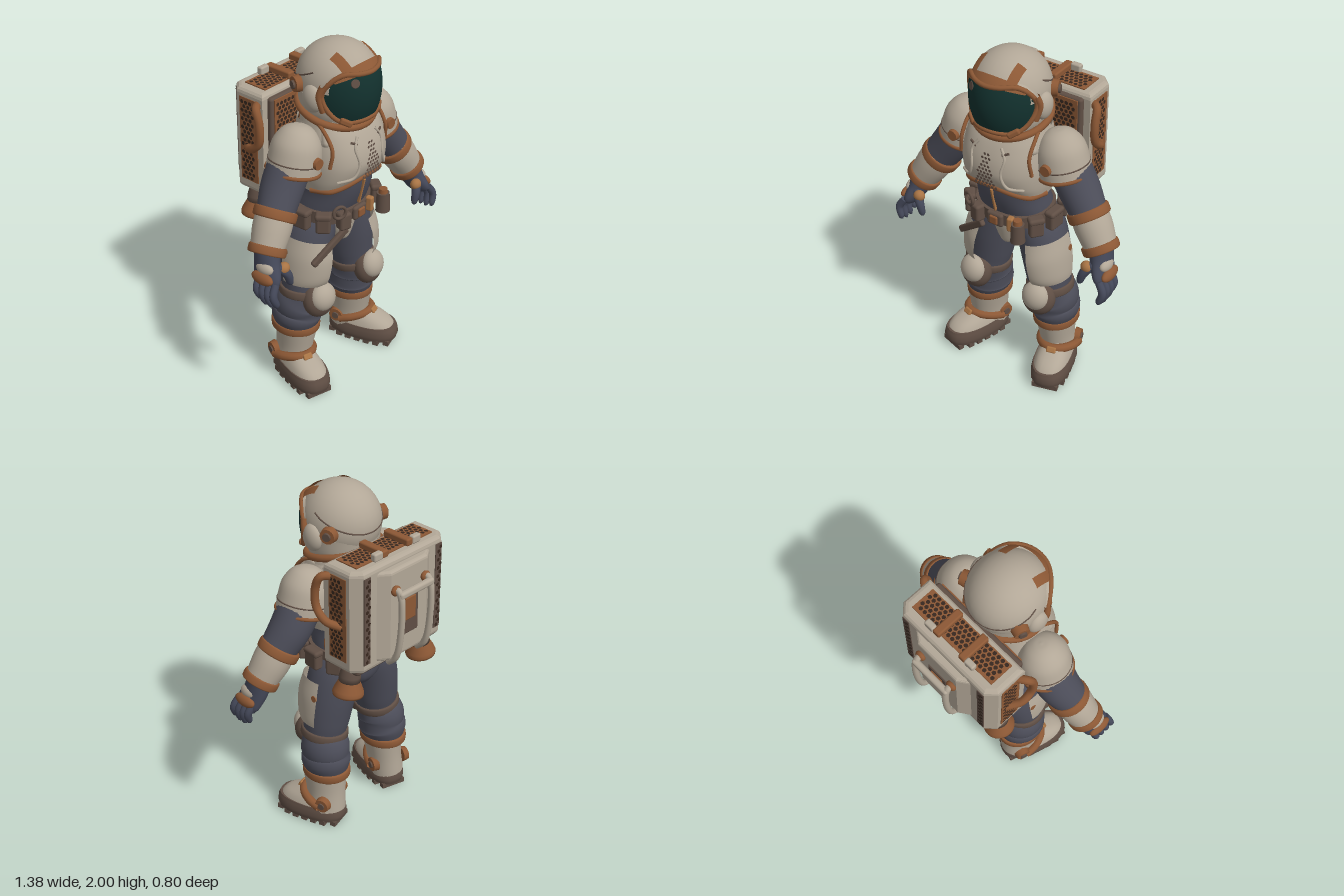
import * as THREE from 'three';
import { mergeGeometries } from 'three/addons/utils/BufferGeometryUtils.js';
import { RoundedBoxGeometry } from 'three/addons/geometries/RoundedBoxGeometry.js';
import { ParametricGeometry } from 'three/addons/geometries/ParametricGeometry.js';

const M = {};
const palette = { shell: 0xb2a797, copper: 0x8c5835, paleCopper: 0xa87445, suit: 0x4c4d59, glove: 0x444859, brown: 0x5f4e44, visor: 0x13322f, dark: 0x38281f };
for (const [name, hex] of Object.entries(palette)) {
  M[name] = new THREE.MeshStandardMaterial({ color: hex, side: THREE.DoubleSide });
  M[name].name = name;
}
const V = (a) => new THREE.Vector3(a[0], a[1], a[2]);

function add(parent, name, geo, mat, pos = [0, 0, 0], rot = [0, 0, 0], scale = [1, 1, 1]) {
  const m = new THREE.Mesh(geo, M[mat]);
  m.name = name;
  m.position.set(...pos); m.rotation.set(...rot); m.scale.set(...scale);
  parent.add(m);
}

// Skin over stations [x, y, z, rx, rz]; pow squares the section, a0..a1 opens it
function loft(st, { n = 28, sub = 5, pow = 2, flat = false, a0 = 0, a1 = 2 * Math.PI } = {}) {
  const open = a1 - a0 < 6.28, cols = open ? n + 1 : n, steps = (st.length - 1) * sub;
  const path = new THREE.CatmullRomCurve3(st.map(V), false, 'catmullrom');
  const size = new THREE.CatmullRomCurve3(st.map((s) => new THREE.Vector3(s[3], s[4], 0)), false, 'catmullrom');
  const pos = [], idx = [];
  const sp = (v) => Math.sign(v) * Math.abs(v) ** (2 / pow);
  for (let i = 0; i <= steps; i++) {
    const c = path.getPoint(i / steps), r = size.getPoint(i / steps);
    const t = flat ? new THREE.Vector3(0, 1, 0) : path.getTangent(i / steps);
    const u = t.clone().cross(new THREE.Vector3(0, 0, 1)).normalize(), v = u.clone().cross(t);
    for (let j = 0; j < cols; j++) {
      const a = a0 + (a1 - a0) * j / n;
      const p = c.clone().addScaledVector(u, r.x * sp(Math.cos(a))).addScaledVector(v, r.y * sp(Math.sin(a)));
      pos.push(p.x, p.y, p.z);
    }
  }
  for (let i = 0; i < steps; i++) for (let j = 0; j < n; j++) {
    const k = (j + 1) % cols, a = i * cols + j, b = i * cols + k;
    idx.push(a, a + cols, b, b, a + cols, b + cols);
  }
  if (!open) for (const end of [0, steps]) {
    const base = pos.length / 3, c = path.getPoint(end / steps);
    pos.push(...pos.slice(end * cols * 3, (end + 1) * cols * 3), c.x, c.y, c.z);
    for (let j = 0; j < n; j++) {
      const a = base + j, b = base + (j + 1) % n;
      idx.push(base + n, ...(end ? [b, a] : [a, b]));
    }
  }
  const g = new THREE.BufferGeometry();
  g.setAttribute('position', new THREE.Float32BufferAttribute(pos, 3));
  g.setIndex(idx);
  g.computeVertexNormals();
  return g;
}
const tube = (pts, r, closed = false) => new THREE.TubeGeometry(new THREE.CatmullRomCurve3(pts.map(V), closed), 48, r, 10, closed);
const ball = () => new THREE.SphereGeometry(1, 28, 18);
const rbox = (w, h, d, r = 0.015) => new RoundedBoxGeometry(w, h, d, 3, r);
const disc = (r, h) => new THREE.CylinderGeometry(r * 0.88, r, h, 24);
const lathe = (pts) => new THREE.LatheGeometry(pts.map(([x, y]) => new THREE.Vector2(x, y)), 28);
// Upright bevelled prism from a plan outline [x, -z]
const prism = (pts, depth, bevel) => new THREE.ExtrudeGeometry(new THREE.Shape(pts.map(([x, y]) => new THREE.Vector2(x, y))), { depth, bevelThickness: bevel, bevelSize: bevel, bevelSegments: 3 }).rotateX(-Math.PI / 2);

// Band wrapped around a limb between two points
function cuff(a, b, r, rz = r) {
  const at = (t, k) => [...V(a).lerp(V(b), t).toArray(), r * k, rz * k];
  return loft([at(0, 0.93), at(0.15, 1), at(0.85, 1), at(1, 0.93)], { sub: 2 });
}

// Honeycomb panel facing +z
function grille(parent, name, w, h, pos, rot, base = 'copper') {
  const g = new THREE.Group(), cells = [], s = 0.028;
  g.name = name; g.position.set(...pos); g.rotation.set(...rot);
  add(g, name + 'Plate', new THREE.BoxGeometry(w, h, 0.008), base);
  for (let r = 0; r * s * 0.87 < h - s; r++) for (let c = 0; c * s < w - s * 1.4; c++)
    cells.push(new THREE.CircleGeometry(s * 0.42, 6).rotateZ(Math.PI / 6).translate(-w / 2 + s * (0.7 + c + (r % 2) * 0.5), -h / 2 + s * (0.6 + r * 0.87), 0.006));
  add(g, name + 'Cells', mergeGeometries(cells), 'dark');
  parent.add(g);
}

// Copy of a group reflected across x, with face order restored
function mirrored(group) {
  const out = new THREE.Group();
  out.name = group.name.replace('left', 'right');
  group.updateMatrixWorld(true);
  group.traverse((o) => {
    if (!o.isMesh) return;
    const g = o.geometry.clone().applyMatrix4(o.matrixWorld).scale(-1, 1, 1);
    const ix = g.index ? Array.from(g.index.array) : Array.from({ length: g.attributes.position.count }, (_, i) => i);
    for (let i = 0; i < ix.length; i += 3) [ix[i + 1], ix[i + 2]] = [ix[i + 2], ix[i + 1]];
    g.setIndex(ix);
    const m = new THREE.Mesh(g, o.material);
    m.name = o.name;
    out.add(m);
  });
  return out;
}

function buildLeg() {
  const g = new THREE.Group(); g.name = 'leftLeg';
  const thigh = [[0.21, 0.56, 0.09, 0.12, 0.12], [0.195, 0.66, 0.085, 0.13, 0.13], [0.17, 0.8, 0.08, 0.135, 0.145], [0.135, 0.93, 0.075, 0.13, 0.15]];
  add(g, 'trouser', loft([[0.23, 0.33, 0.055, 0.11, 0.125], [0.23, 0.4, 0.06, 0.137, 0.143], [0.225, 0.44, 0.065, 0.13, 0.138], [0.225, 0.49, 0.07, 0.135, 0.14], ...thigh, [0.1, 1.01, 0.08, 0.11, 0.14]]), 'suit');
  add(g, 'thighPlate', loft([[0.195, 0.645, 0.09, 0.135, 0.15], [0.19, 0.7, 0.09, 0.142, 0.175], [0.175, 0.8, 0.085, 0.148, 0.185], [0.155, 0.905, 0.085, 0.142, 0.165]], { a0: -0.25, a1: 1.6 }), 'shell');
  add(g, 'plateBadge', disc(0.02, 0.012), 'copper', [0.312, 0.84, 0.06], [0, 0, -1.45]);
  add(g, 'kneeStrap', cuff([0.212, 0.545, 0.09], [0.205, 0.595, 0.088], 0.134), 'brown');
  add(g, 'kneeRim', ball(), 'brown', [0.212, 0.55, 0.205], [-0.2, 0.1, 0], [0.098, 0.108, 0.073]);
  add(g, 'kneePad', ball(), 'shell', [0.212, 0.574, 0.235], [-0.2, 0.1, 0], [0.08, 0.083, 0.062]);
  add(g, 'bootCuff', cuff([0.232, 0.31, 0.055], [0.232, 0.362, 0.055], 0.127, 0.143), 'copper');
  const b = new THREE.Group(); b.name = 'boot';
  b.position.set(0.25, 0, 0.05); b.rotation.y = 0.28;
  add(b, 'bootShaft', loft([[0, 0.08, -0.01, 0.1, 0.11], [-0.01, 0.2, 0, 0.1, 0.115], [-0.018, 0.33, 0.01, 0.115, 0.128]]), 'shell');
  add(b, 'bootFoot', loft([[0, 0.06, 0.09, 0.103, 0.198], [0, 0.1, 0.088, 0.101, 0.192], [0, 0.135, 0.082, 0.09, 0.165], [0, 0.165, 0.06, 0.075, 0.13], [0, 0.2, 0.02, 0.055, 0.09]], { pow: 2.4, flat: true }), 'shell');
  add(b, 'sole', loft([[0, 0.024, 0.09, 0.108, 0.206], [0, 0.05, 0.09, 0.113, 0.212], [0, 0.08, 0.09, 0.111, 0.209], [0, 0.108, 0.089, 0.104, 0.199]], { pow: 2.5, flat: true }), 'brown');
  for (let i = 0; i < 7; i++) {
    const z = -0.085 + i * 0.058, w = 0.205 * (1 - (Math.abs(z - 0.09) / 0.24) ** 4);
    add(b, 'tread', new THREE.BoxGeometry(w, 0.03, 0.034), 'brown', [0, 0.015, z]);
  }
  add(b, 'instepStrap', tube([[-0.11, 0.14, -0.02], [-0.094, 0.16, 0.05], [-0.05, 0.175, 0.11], [0, 0.178, 0.13], [0.05, 0.175, 0.11], [0.094, 0.16, 0.05], [0.11, 0.14, -0.02]], 0.026), 'copper');
  add(b, 'strapClasp', rbox(0.055, 0.035, 0.02, 0.008), 'paleCopper', [0, 0.185, 0.153], [-0.6, 0, 0]);
  for (const s of [-1, 1]) {
    add(b, 'ankleDisc', disc(0.046, 0.035), 'copper', [s * 0.103, 0.16, -0.04], [0, 0, -s * Math.PI / 2]);
    add(b, 'ankleHub', disc(0.022, 0.012), 'brown', [s * 0.122, 0.16, -0.04], [0, 0, -s * Math.PI / 2]);
  }
  g.add(b);
  return g;
}

function buildArm() {
  const g = new THREE.Group(); g.name = 'leftArm';
  add(g, 'sleeve', loft([[0.25, 1.53, 0.12, 0.09, 0.1], [0.33, 1.42, 0.12, 0.108, 0.115], [0.4, 1.31, 0.125, 0.108, 0.115], [0.47, 1.21, 0.145, 0.1, 0.1]]), 'suit');
  add(g, 'forearm', loft([[0.465, 1.22, 0.145, 0.098, 0.1], [0.52, 1.13, 0.16, 0.1, 0.102], [0.585, 1.03, 0.182, 0.083, 0.086]]), 'shell');
  add(g, 'elbowBand', cuff([0.46, 1.215, 0.14], [0.49, 1.17, 0.148], 0.114), 'copper');
  add(g, 'wristBand', cuff([0.563, 1.06, 0.176], [0.588, 1.02, 0.184], 0.1), 'copper');
  add(g, 'elbowPad', ball(), 'shell', [0.49, 1.28, 0.135], [0, 0, 0.65], [0.045, 0.065, 0.06]);
  // Pauldron dome with hem
  const p = new THREE.Group(); p.name = 'pauldron';
  p.position.set(0.295, 1.475, 0.125); p.rotation.z = 0.22;
  add(p, 'dome', loft([[0, -0.1, 0, 0.14, 0.142], [0, -0.03, 0, 0.137, 0.14], [0, 0.05, 0, 0.125, 0.127], [0, 0.11, 0, 0.088, 0.09], [0, 0.138, 0, 0.045, 0.045], [0, 0.145, 0, 0.004, 0.004]], { flat: true }), 'shell');
  add(p, 'hem', new THREE.TorusGeometry(1, 0.07, 8, 40), 'copper', [0, -0.1, 0], [Math.PI / 2, 0, 0], [0.138, 0.14, 0.16]);
  add(p, 'seam', new THREE.TorusGeometry(1, 0.03, 8, 40), 'brown', [0, -0.045, 0], [Math.PI / 2, 0, 0], [0.137, 0.139, 0.14]);
  g.add(p);
  add(g, 'shoulderBolt', disc(0.033, 0.03), 'copper', [0.29, 1.45, 0.265], [Math.PI / 2, 0, 0]);
  // Gloved hand
  add(g, 'palm', loft([[0.58, 1.04, 0.182, 0.065, 0.07], [0.6, 0.97, 0.2, 0.055, 0.075], [0.625, 0.91, 0.225, 0.042, 0.08], [0.64, 0.88, 0.235, 0.03, 0.07]]), 'glove');
  for (let i = 0; i < 4; i++) {
    const z = 0.178 + i * 0.038, len = [0.85, 1, 1, 0.9][i];
    add(g, 'finger', loft([[0.638, 0.91, z, 0.021, 0.02], [0.67, 0.91 - 0.06 * len, z + 0.012, 0.022, 0.02], [0.655, 0.91 - 0.12 * len, z + 0.02, 0.018, 0.017], [0.645, 0.91 - 0.14 * len, z + 0.02, 0.005, 0.005]], { n: 12 }), 'glove');
  }
  add(g, 'knuckleGuard', ball(), 'copper', [0.66, 0.928, 0.22], [0, 0, 0.3], [0.026, 0.034, 0.07]);
  add(g, 'thumb', loft([[0.58, 0.97, 0.25, 0.026, 0.026], [0.54, 0.92, 0.28, 0.025, 0.025], [0.522, 0.86, 0.285, 0.018, 0.018], [0.525, 0.845, 0.285, 0.004, 0.004]], { n: 12 }), 'glove');
  add(g, 'thumbGuard', ball(), 'paleCopper', [0.55, 0.955, 0.268], [0, 0, 0], [0.034, 0.032, 0.03]);
  add(g, 'handPlate', ball(), 'shell', [0.635, 0.975, 0.215], [0, 0, 0.3], [0.028, 0.035, 0.055]);
  return g;
}

const chestR = (y) => [0.242 - 0.7 * (y - 1.38) ** 2, 0.225 - 1.75 * (y - 1.38) ** 2];
const chestZ = (x, y) => { const [a, b] = chestR(y); return 0.16 + b * (1 - Math.min(1, Math.abs(x / a)) ** 2.4) ** (1 / 2.4); };
const arch = (x, y) => y + 0.07 * Math.max(0, 1 - (x / 0.24) ** 2) * Math.max(0, (1.4 - y) / 0.18);

function buildTorso(root) {
  add(root, 'bodySuit', loft([[0, 0.845, 0.06, 0.06, 0.09], [0, 0.9, 0.07, 0.14, 0.135], [0, 0.98, 0.075, 0.205, 0.15], [0, 1.08, 0.11, 0.2, 0.17], [0, 1.2, 0.145, 0.185, 0.175], [0, 1.32, 0.15, 0.21, 0.18], [0, 1.47, 0.15, 0.23, 0.17], [0, 1.6, 0.14, 0.17, 0.14]], { pow: 2.3, flat: true }), 'suit');
  const chest = loft([1.22, 1.29, 1.38, 1.46, 1.54, 1.6].map((y) => [0, y, 0.16, ...chestR(y)]), { n: 60, pow: 2.4, flat: true, a0: -0.5, a1: Math.PI + 0.5 });
  const p = chest.attributes.position;
  for (let i = 0; i < p.count; i++) if (p.getZ(i) > 0.16) p.setY(i, arch(p.getX(i), p.getY(i)));
  chest.computeVertexNormals();
  add(root, 'chestPlate', chest, 'shell');
  const hem = [];
  for (let i = 0; i <= 16; i++) { const x = -0.225 + i * 0.45 / 16; hem.push([x, arch(x, 1.22), chestZ(x, 1.22) + 0.002]); }
  add(root, 'chestHem', tube(hem, 0.015), 'copper');
  add(root, 'backPlate', loft([[0, 1.25, 0.13, 0.21, 0.17], [0, 1.42, 0.13, 0.235, 0.18], [0, 1.59, 0.13, 0.2, 0.17]], { pow: 2.4, flat: true, a0: Math.PI, a1: 2 * Math.PI }), 'shell');
  // Chest vents, a fan widening downward
  const cells = [];
  for (let r = 0; r < 10; r++) for (let c = -3; c <= 3; c++) {
    const y = 1.315 + r * 0.02, x = (c + (r % 2) * 0.5) * 0.021;
    if (Math.abs(x) < 0.066 - r * 0.0055) cells.push(new THREE.CircleGeometry(0.0085, 6).translate(x, y, chestZ(x, y) + 0.007));
  }
  add(root, 'chestVents', mergeGeometries(cells), 'brown');
  for (const s of [-1, 1]) {
    const on = (x, y) => [s * x, y, chestZ(x, y) + 0.001];
    add(root, 'chestRidge', tube([on(0.07, 1.54), on(0.1, 1.49), on(0.09, 1.4), on(0.12, 1.33), on(0.19, 1.31)], 0.008), 'shell');
    add(root, 'chestSlot', rbox(0.045, 0.012, 0.01, 0.004), 'brown', [s * 0.1, 1.515, chestZ(0.1, 1.515) + 0.002], [0, s * 0.3, s * 0.45]);
    add(root, 'collarStrap', rbox(0.07, 0.14, 0.11, 0.025), 'shell', [s * 0.175, 1.545, 0.2], [-0.5, 0, s * 0.25]);
    add(root, 'collarEdge', tube([[s * 0.18, 1.63, 0.13], [s * 0.205, 1.59, 0.23], [s * 0.21, 1.5, 0.295], [s * 0.222, 1.4, 0.29]], 0.01), 'copper');
    add(root, 'waistHose', tube([[s * 0.17, 1.24, 0.04], [s * 0.24, 1.2, 0.02], [s * 0.26, 1.13, -0.02], [s * 0.28, 1.15, -0.1]], 0.018), 'copper');
  }
  add(root, 'zipper', rbox(0.012, 0.16, 0.016, 0.003), 'paleCopper', [0, 1.185, 0.318], [0.22, 0, 0]);
  add(root, 'collar', loft([[0, 1.55, 0.14, 0.205, 0.18], [0, 1.62, 0.14, 0.185, 0.175]], { flat: true }), 'shell');
  add(root, 'codpiece', loft([[0, 0.835, 0.165, 0.02, 0.04], [0, 0.86, 0.17, 0.05, 0.06], [0, 0.94, 0.17, 0.09, 0.08], [0, 1.02, 0.17, 0.105, 0.092]], { flat: true }), 'shell');
  // Belt and its gear
  add(root, 'belt', loft([[0, 1.02, 0.11, 0.218, 0.188], [0, 1.09, 0.115, 0.216, 0.188]], { flat: true, pow: 2.3 }), 'brown');
  add(root, 'buckle', rbox(0.1, 0.08, 0.03), 'brown', [0, 1.055, 0.305]);
  add(root, 'buckleFace', rbox(0.05, 0.05, 0.02, 0.008), 'copper', [0, 1.055, 0.32]);
  add(root, 'beltClasp', rbox(0.035, 0.085, 0.04, 0.01), 'paleCopper', [0.095, 1.055, 0.3], [0, 0.25, 0]);
  for (const [x, z, a, w] of [[0.215, 0.24, 0.9, 0.08], [0.25, 0.12, 1.5, 0.1], [0.22, -0.01, 2.1, 0.09]]) for (const s of [-1, 1]) {
    add(root, 'pouch', rbox(w, 0.11, 0.055), 'brown', [s * x, 1.05, z], [0, s * a, 0]);
    add(root, 'pouchFlap', rbox(w + 0.008, 0.035, 0.062), 'brown', [s * x, 1.092, z], [0, s * a, 0]);
  }
  add(root, 'frontPouch', rbox(0.07, 0.1, 0.06), 'brown', [-0.12, 1.05, 0.3], [0, -0.3, 0]);
  add(root, 'canister', disc(0.04, 0.11), 'brown', [0.165, 1.05, 0.335]);
  add(root, 'canisterCap', disc(0.026, 0.03), 'copper', [0.165, 1.115, 0.335]);
  add(root, 'beltRing', new THREE.TorusGeometry(0.035, 0.009, 8, 24), 'brown', [-0.165, 1.12, 0.31], [0, -0.4, 0]);
  add(root, 'knifeSheath', rbox(0.04, 0.27, 0.03, 0.012), 'brown', [-0.19, 0.9, 0.265], [0, -0.3, -0.9]);
}

function buildHelmet(root) {
  const g = new THREE.Group(); g.name = 'helmet';
  add(g, 'helmetShell', ball(), 'shell', [0, 1.79, 0.15], [0, 0, 0], [0.208, 0.21, 0.222]);
  add(g, 'neckRing', new THREE.TorusGeometry(0.198, 0.02, 10, 48), 'copper', [0, 1.632, 0.135], [Math.PI / 2 + 0.25, 0, 0]);
  add(g, 'jaw', loft([[0, 1.61, 0.15, 0.175, 0.17], [0, 1.66, 0.14, 0.195, 0.19], [0, 1.75, 0.14, 0.205, 0.2]], { flat: true }), 'shell');
  // Visor bulges from its outline
  const vz = (x, y) => 0.15 + 0.235 * Math.sqrt(Math.max(0, 1 - (x / 0.206) ** 2 - ((y - 1.77) / 0.3) ** 2));
  const half = [[0.07, 1.893], [0.135, 1.893], [0.178, 1.85], [0.198, 1.78], [0.18, 1.69], [0.13, 1.632], [0.07, 1.63]];
  const edge = [[0, 1.89], ...half, [0, 1.635], ...half.slice().reverse().map(([x, y]) => [-x, y])];
  const rim = new THREE.CatmullRomCurve3(edge.map(([x, y]) => new THREE.Vector3(x, y, 0)), true);
  add(g, 'visor', new ParametricGeometry((u, v, t) => {
    const e = rim.getPoint(u), x = e.x * v, y = 1.765 + (e.y - 1.765) * v;
    t.set(x, y, vz(x, y));
  }, 64, 16), 'visor');
  add(g, 'visorSurround', new ParametricGeometry((u, v, t) => {
    const e = rim.getPoint(u);
    t.set(e.x * 1.03, 1.765 + (e.y - 1.765) * 1.05, vz(e.x, e.y) * (1 - v) + 0.13 * v);
  }, 64, 4), 'shell');
  add(g, 'visorRim', tube(edge.map(([x, y]) => [x * 1.02, y, vz(x, y)]), 0.013, true), 'copper');
  // Strip of the dome between two x values and two elevations
  const domeStrip = (x0, x1, p0, p1) => new ParametricGeometry((u, v, t) => {
    const x = x0 + (x1 - x0) * u, a = p0 + (p1 - p0) * v, k = Math.sqrt(1 - (x / 0.216) ** 2);
    t.set(x, 1.79 + 0.217 * k * Math.sin(a), 0.15 + (0.226 + 0.025 * Math.cos(a) ** 2) * k * Math.cos(a));
  }, 24, 10);
  add(g, 'browBand', domeStrip(-0.175, 0.175, 0.5, 0.74), 'copper');
  add(g, 'visorGlint', disc(0.024, 0.004), 'brown', [-0.1, 1.85, vz(-0.1, 1.85) + 0.001], [Math.PI / 2 - 0.28, 0, 0.5]);
  const seam = [];
  for (let i = 0; i <= 20; i++) {
    const a = Math.PI * (i / 20), y = 0.09 - 0.1 * Math.sin(a), k = Math.sqrt(1 - (y / 0.21) ** 2);
    seam.push([0.207 * k * Math.cos(a), 1.79 + y, 0.15 - 0.221 * k * Math.sin(a)]);
  }
  add(g, 'shellSeam', tube(seam, 0.004), 'brown');
  for (const s of [-1, 1]) {
    add(g, 'browTab', domeStrip(s * 0.09, s * 0.135, 0.7, 1.25), 'copper');
    add(g, 'jawCorner', rbox(0.07, 0.035, 0.035, 0.012), 'copper', [s * 0.125, 1.635, 0.31], [0, s * 0.6, s * 0.5]);
    add(g, 'cheekStrip', tube([[s * 0.2, 1.83, 0.22], [s * 0.212, 1.77, 0.205], [s * 0.195, 1.69, 0.22]], 0.018), 'copper');
    add(g, 'earPod', ball(), 'shell', [s * 0.2, 1.745, 0.155], [0, 0, 0], [0.042, 0.075, 0.062]);
    add(g, 'earDisc', disc(0.046, 0.04), 'copper', [s * 0.195, 1.79, 0.045], [0, s * 0.35, -s * Math.PI / 2]);
    add(g, 'earHub', disc(0.024, 0.016), 'brown', [s * 0.217, 1.79, 0.038], [0, s * 0.35, -s * Math.PI / 2]);
  }
  root.add(g);
}

function buildPack(root) {
  const g = new THREE.Group(); g.name = 'backpack';
  add(g, 'packShell', prism([[-0.31, 0.09], [0.31, 0.09], [0.31, 0.23], [0.275, 0.265], [-0.275, 0.265], [-0.31, 0.23]], 0.535, 0.028), 'shell', [0, 1.172, 0]);
  add(g, 'backPanel', prism([[-0.21, 0.27], [0.21, 0.27], [0.13, 0.315], [-0.13, 0.315]], 0.48, 0.02), 'shell', [0, 1.2, 0]);
  add(g, 'packFront', rbox(0.6, 0.54, 0.04), 'brown', [0, 1.44, -0.055]);
  add(g, 'packBase', rbox(0.62, 0.06, 0.2, 0.02), 'brown', [0, 1.155, -0.17]);
  add(g, 'hatch', rbox(0.13, 0.24, 0.02, 0.008), 'brown', [0, 1.42, -0.333]);
  add(g, 'hatchPlate', rbox(0.08, 0.13, 0.02, 0.006), 'copper', [0, 1.45, -0.34]);
  grille(g, 'topGrille', 0.56, 0.14, [0, 1.737, -0.165], [-Math.PI / 2, 0, 0]);
  grille(g, 'frontGrille', 0.56, 0.24, [0, 1.58, -0.033], [0, 0, 0]);
  for (const d of [-1, 1]) {
    grille(g, 'sideGrille', 0.12, 0.48, [d * 0.338, 1.45, -0.16], [0, d * Math.PI / 2, 0]);
    grille(g, 'backGrille', 0.045, 0.5, [d * 0.265, 1.45, -0.293], [0, Math.PI, 0], 'brown');
    add(g, 'topStrap', rbox(0.045, 0.04, 0.17, 0.01), 'copper', [d * 0.09, 1.755, -0.17]);
    add(g, 'topClip', rbox(0.06, 0.045, 0.035, 0.01), 'shell', [d * 0.14, 1.757, -0.24]);
    add(g, 'frameRail', tube([[d * 0.11, 1.585, -0.32], [d * 0.11, 1.595, -0.36], [d * 0.11, 1.56, -0.382], [d * 0.11, 1.33, -0.38], [d * 0.11, 1.2, -0.35], [d * 0.11, 1.15, -0.3]], 0.018), 'shell');
    add(g, 'frameJoint', ball(), 'copper', [d * 0.11, 1.59, -0.345], [0, 0, 0], [0.03, 0.028, 0.02]);
    add(g, 'hose', tube([[d * 0.32, 1.67, -0.11], [d * 0.37, 1.67, -0.075], [d * 0.38, 1.6, -0.045], [d * 0.38, 1.49, -0.05], [d * 0.375, 1.43, -0.11], [d * 0.33, 1.4, -0.18]], 0.022), 'copper');
    add(g, 'thrusterCollar', lathe([[0.03, 0.07], [0.058, 0.08], [0.058, 0.11], [0.05, 0.15]]), 'brown', [d * 0.285, 0.975, -0.175], [0, 0, d * 0.15]);
    add(g, 'thrusterNozzle', lathe([[0.05, 0.1], [0.055, 0.085], [0.08, 0.03], [0.085, 0.012], [0.083, 0], [0.07, 0], [0.035, 0.06]]), 'copper', [d * 0.285, 0.975, -0.175], [0, 0, d * 0.15]);
    add(g, 'thrusterThroat', new THREE.CircleGeometry(0.05, 24), 'dark', [d * 0.285, 1.02, -0.175], [Math.PI / 2, 0, 0]);
  }
  add(g, 'frameBar', rbox(0.25, 0.04, 0.036, 0.015), 'shell', [0, 1.575, -0.382]);
  root.add(g);
}

export function createModel() {
  const root = new THREE.Group();
  root.name = 'astronaut';
  buildTorso(root);
  buildHelmet(root);
  buildPack(root);
  for (const limb of [buildLeg(), buildArm()]) root.add(limb, mirrored(limb));
  return root;
}
